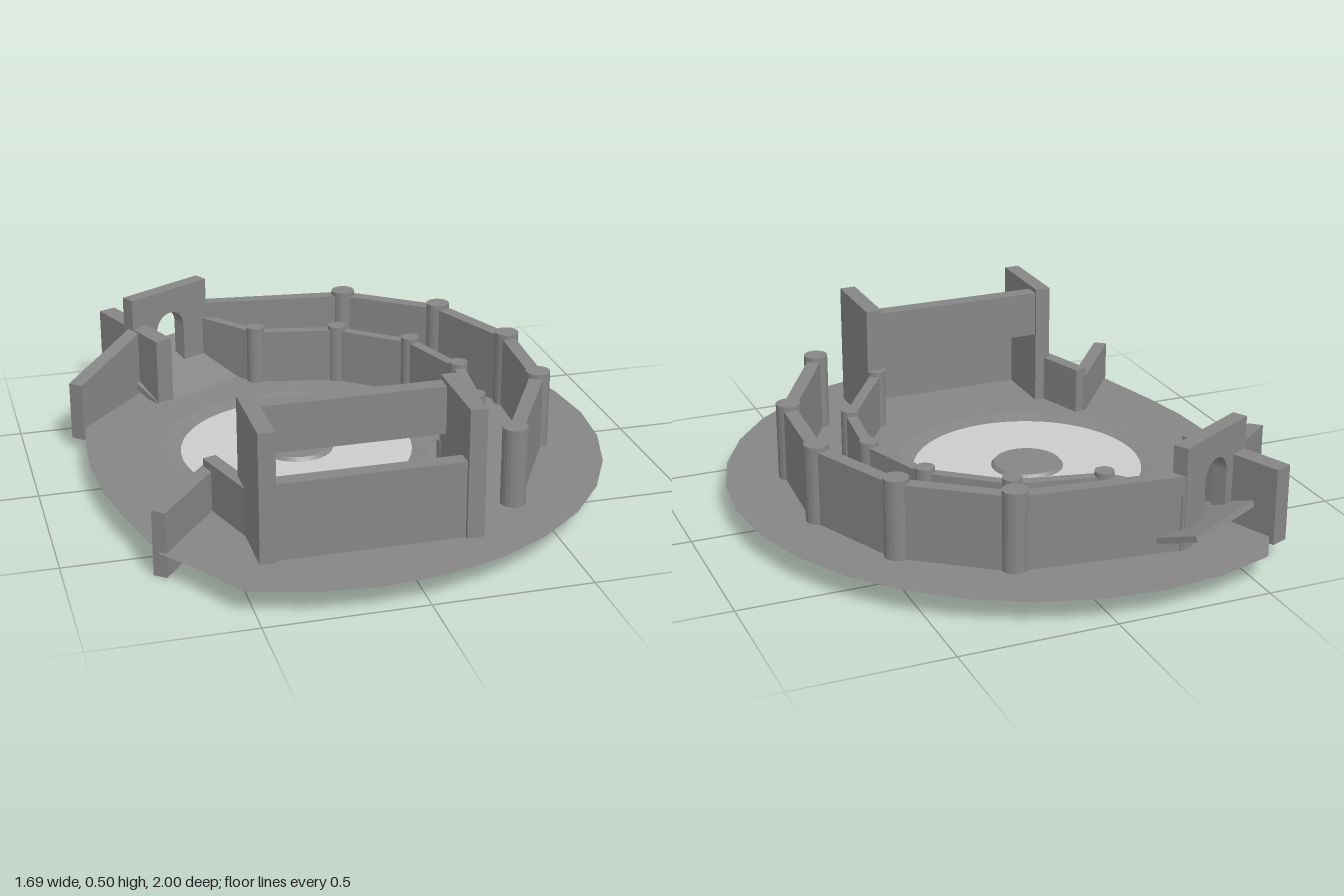
import * as THREE from 'three';

const stone = new THREE.MeshStandardMaterial({ color: 0x868686, flatShading: true, side: THREE.DoubleSide });
const pale = new THREE.MeshStandardMaterial({ color: 0xcccccc, side: THREE.DoubleSide });

const FLOOR = 0.083;
const CX = -0.15;

export function createModel() {
  const root = new THREE.Group();

  function add(name, geometry, material = stone, parent = root) {
    const mesh = new THREE.Mesh(geometry, material);
    mesh.name = name;
    parent.add(mesh);
    return mesh;
  }

  // Straight wall between two plan points [x, z]; the top may slope from y1 to y1b
  function wall(name, a, b, y0, y1, thick, extra = 0, y1b = y1) {
    const dx = b[0] - a[0], dz = b[1] - a[1];
    const half = Math.hypot(dx, dz) / 2 + extra;
    const outline = new THREE.Shape([
      new THREE.Vector2(-half, y0), new THREE.Vector2(half, y0),
      new THREE.Vector2(half, y1b), new THREE.Vector2(-half, y1),
    ]);
    const geo = new THREE.ExtrudeGeometry(outline, { depth: thick, bevelEnabled: false });
    geo.translate(0, 0, -thick / 2);
    const mesh = add(name, geo);
    mesh.position.set((a[0] + b[0]) / 2, 0, (a[1] + b[1]) / 2);
    mesh.rotation.y = Math.atan2(-dz, dx);
    return mesh;
  }

  function box(name, x0, x1, y0, y1, z0, z1) {
    add(name, new THREE.BoxGeometry(x1 - x0, y1 - y0, z1 - z0))
      .position.set((x0 + x1) / 2, (y0 + y1) / 2, (z0 + z1) / 2);
  }

  // Ground: a 32-sided disc trimmed on its right side, open at the ring
  const rim = [];
  for (let i = -10; i <= 10; i++) {
    const t = (i * Math.PI) / 16;
    rim.push(new THREE.Vector2(CX + Math.cos(t), Math.sin(t)));
  }
  const trim = [[-0.64, 0.75], [-0.72, 0.64], [-0.79, 0.35], [-0.82, 0.18], [-0.83, 0]];
  trim.forEach(([x, z]) => rim.push(new THREE.Vector2(x, z)));
  trim.slice(0, -1).reverse().forEach(([x, z]) => rim.push(new THREE.Vector2(x, -z)));
  const land = new THREE.Shape(rim);
  land.holes.push(new THREE.Path().absarc(CX, 0, 0.44, 0, Math.PI * 2, true));
  add('ground', new THREE.ShapeGeometry(land, 24).rotateX(-Math.PI / 2)).position.y = FLOOR;

  // Shallow arena with a pale floor and a low central dais
  const lathe = (pts) => new THREE.LatheGeometry(pts.map(([r, y]) => new THREE.Vector2(r, y)), 48);
  const arena = new THREE.Group();
  arena.name = 'arena';
  arena.position.set(CX, 0, 0);
  root.add(arena);
  add('arenaRim', lathe([[0.38, FLOOR - 0.008], [0.44, FLOOR]]), stone, arena);
  add('arenaFloor', lathe([[0.12, FLOOR - 0.008], [0.38, FLOOR - 0.008]]), pale, arena);
  add('dais', lathe([[0.12, FLOOR - 0.008], [0.11, FLOOR + 0.004], [0, FLOOR + 0.004]]), stone, arena);

  // Two rings of walls with a round tower at each corner
  const rings = [
    {
      name: 'outer', r: 0.04, thick: 0.045, wallTop: 0.325, towerTop: 0.34, end: [-0.32, -0.765],
      towers: [[0.39, 0.59], [0.61, 0.195], [0.63, -0.16], [0.49, -0.49], [0.2, -0.705]],
    },
    {
      name: 'inner', r: 0.031, thick: 0.035, wallTop: 0.27, towerTop: 0.285, end: [-0.31, -0.765],
      towers: [[0.2, 0.505], [0.4, 0.195], [0.43, -0.075], [0.34, -0.335], [0.125, -0.51], [-0.155, -0.57]],
    },
  ];
  for (const { name, r, thick, wallTop, towerTop, end, towers } of rings) {
    const y0 = 0.047;
    for (const [x, z] of towers) {
      add(name + 'Tower', new THREE.CylinderGeometry(r, r, towerTop - y0, 20))
        .position.set(x, (towerTop + y0) / 2, z);
    }
    [...towers, end].forEach((p, i, all) => {
      if (i) wall(name + 'Wall', all[i - 1], p, 0.065, wallTop, thick, 0.02);
    });
  }

  // Stand at the front: two end slabs, a low front wall and a raised rear beam
  box('standEnd', -0.455, -0.403, 0.065, 0.5, 0.505, 0.785);
  box('standEnd', 0.176, 0.23, 0.065, 0.5, 0.505, 0.785);
  box('standFrontWall', -0.405, 0.178, 0.065, 0.33, 0.722, 0.772);
  box('standRearBeam', -0.405, 0.178, 0.33, 0.485, 0.513, 0.567);

  // Broken walls beside the stand
  wall('sideWall', [-0.51, 0.35], [-0.43, 0.6], 0.065, 0.24, 0.045);
  wall('lowWall', [-0.51, 0.36], [-0.72, 0.63], 0.003, 0.215, 0.045);

  // Arched gate at the back
  const gateW = 0.33;
  const gateShape = new THREE.Shape();
  gateShape.moveTo(-gateW / 2, 0.065).lineTo(-0.06, 0.065).lineTo(-0.06, 0.27);
  gateShape.absarc(0, 0.27, 0.06, Math.PI, 0, true);
  gateShape.lineTo(0.06, 0.065).lineTo(gateW / 2, 0.065).lineTo(gateW / 2, 0.415).lineTo(-gateW / 2, 0.415);
  const gateGeo = new THREE.ExtrudeGeometry(gateShape, { depth: 0.05, bevelEnabled: false, curveSegments: 16 });
  gateGeo.translate(0, 0, -0.025);
  const gate = add('archedGate', gateGeo);
  gate.position.set(-0.452, 0, -0.688);
  gate.rotation.y = Math.atan2(0.155, 0.28);

  // Walls flanking the gate; the outer one has a sloping top
  wall('gateWing', [-0.64, -0.81], [-0.5, -0.46], 0.06, 0.31, 0.06);
  wall('slopingWall', [-0.55, -0.62], [-0.825, -0.325], 0.04, 0.315, 0.05, 0, 0.237);

  // Tilted ramp plate running through the gate
  const ramp = new THREE.Group();
  ramp.name = 'ramp';
  ramp.position.set(-0.385, 0.103, -0.62);
  ramp.rotation.y = gate.rotation.y;
  add('rampPlate', new THREE.BoxGeometry(0.42, 0.02, 0.43), stone, ramp).rotation.x = 0.33;
  root.add(ramp);

  return root;
}
